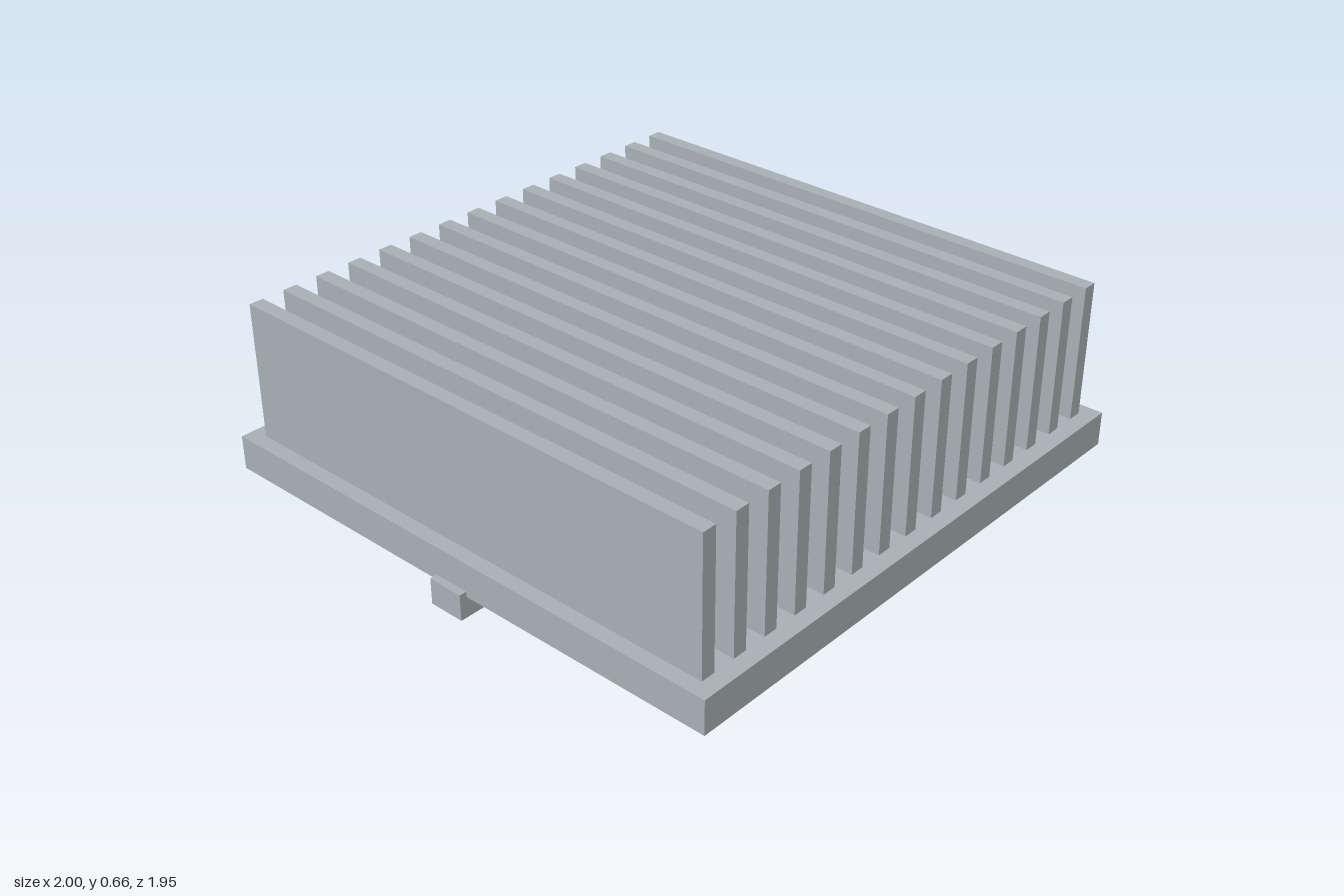
import * as THREE from 'three';

export function createModel() {
  const model = new THREE.Group();
  model.name = 'heatSink';

  const aluminium = new THREE.MeshStandardMaterial({ color: 0xa9b1b5 });
  aluminium.name = 'aluminium grey';

  // Box given by its centre in x, its bottom and top in y, centred on z
  function block(name, x, width, bottom, top, depth) {
    const mesh = new THREE.Mesh(new THREE.BoxGeometry(width, top - bottom, depth), aluminium);
    mesh.name = name;
    mesh.position.set(x, (bottom + top) / 2, 0);
    model.add(mesh);
  }

  // Base plate
  block('basePlate', 0, 1.949, 0.072, 0.19, 1.949);

  // Upright cooling fins running front to back
  const finCount = 15;
  const pitch = 0.1282;
  for (let i = 0; i < finCount; i++) {
    block(`fin${i + 1}`, (i - (finCount - 1) / 2) * pitch, 0.05, 0.19, 0.66, 1.837);
  }

  // Clip lugs under the left and right edges
  block('leftLug', 0.936, 0.128, 0, 0.09, 0.126);
  block('rightLug', -0.936, 0.128, 0, 0.09, 0.126);

  return model;
}
